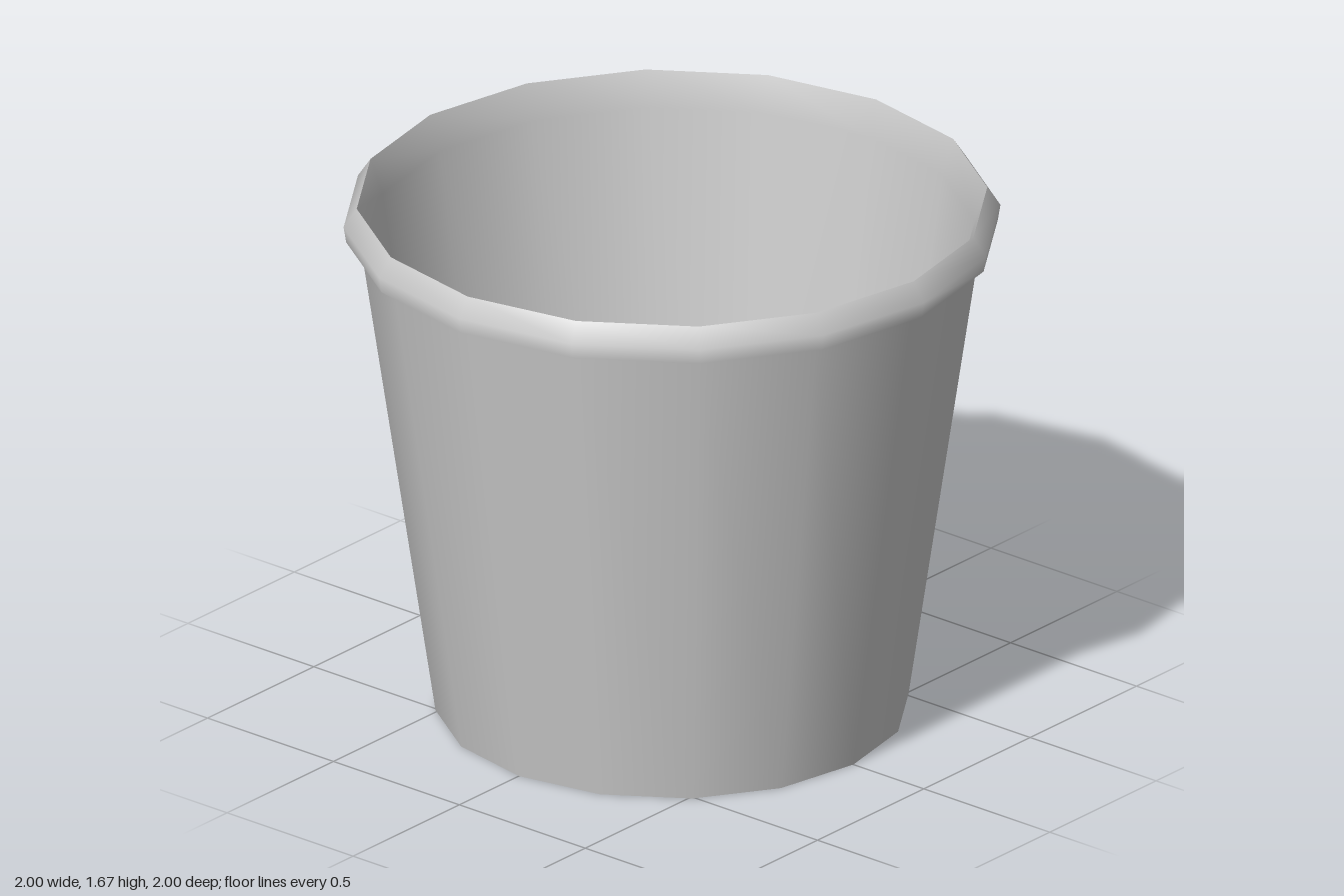
import * as THREE from 'three';

const SIDES = 16;

export function createModel() {
  const group = new THREE.Group();
  const material = new THREE.MeshStandardMaterial({ color: 0xcccccc });

  // Turns a [radius, height] profile; each call is one smooth band with sharp borders.
  function band(name, profile) {
    const points = profile.map(([r, y]) => new THREE.Vector2(r, y));
    const mesh = new THREE.Mesh(new THREE.LatheGeometry(points, SIDES), material);
    mesh.name = name;
    group.add(mesh);
  }

  // Tapered bucket, from the base outwards, over the rim and down inside
  band('base', [[0, 0], [0.72, 0]]);
  band('outerWall', [[0.72, 0], [0.95, 1.565]]);
  band('rimUnderside', [[0.95, 1.565], [0.992, 1.565]]);
  band('rim', [[0.992, 1.565], [1, 1.615], [0.96, 1.675]]);
  band('innerWall', [[0.96, 1.675], [0.922, 1.565], [0.7, 0.05]]);
  band('floor', [[0.7, 0.05], [0, 0.05]]);

  return group;
}
